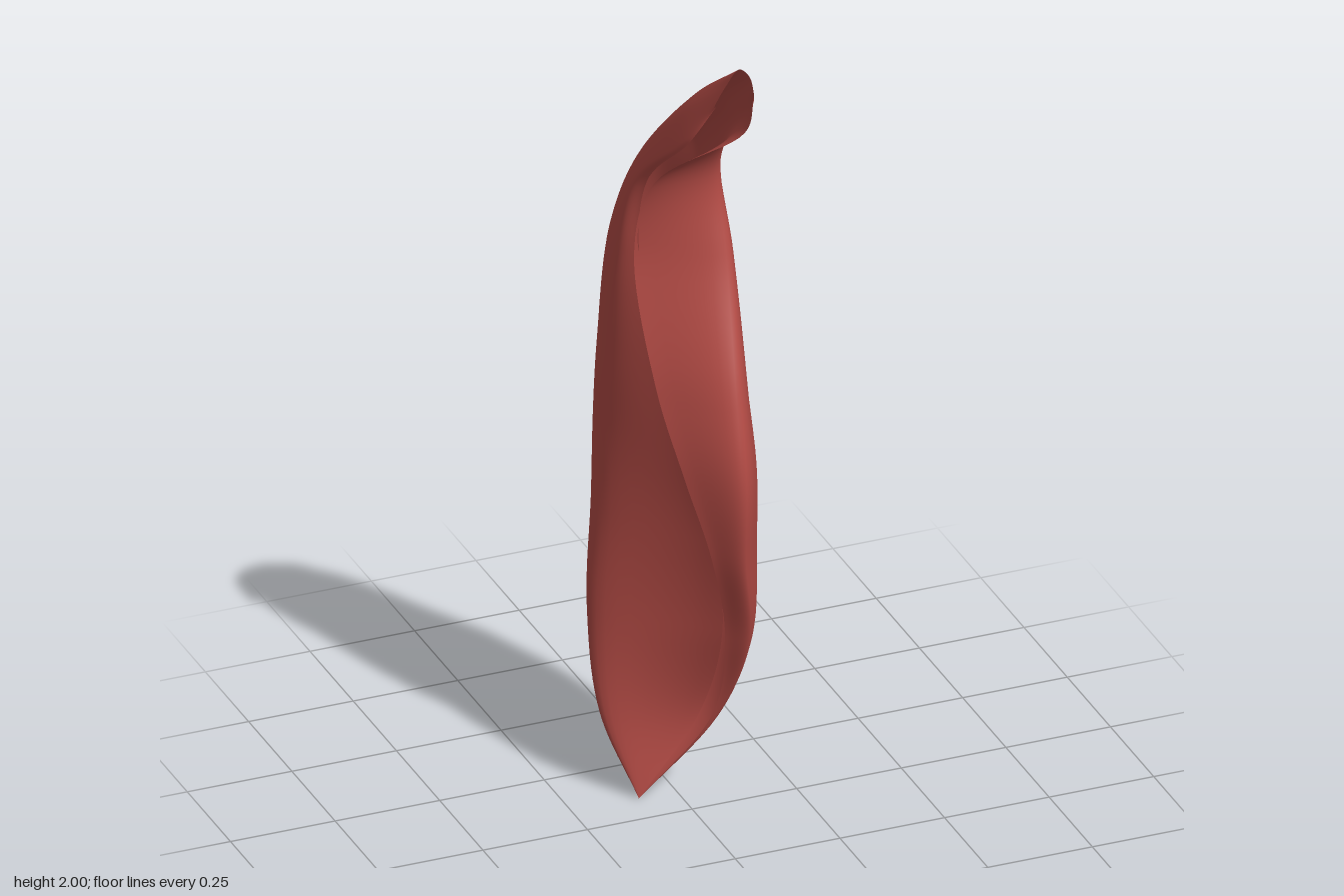
import * as THREE from 'three';

// Cross-sections from base to tip: height at the back, drop of the rims, then
// seven x,z points from the tucked flap round the back to the overlapping rim.
const sections = [
  [.2, 0, .04, -.06, -.157, -.145, -.125, -.195, -.01, -.195, .062, -.12, .075, -.035, .055, -.03],
  [.45, 0, .06, .03, -.17, -.175, -.135, -.245, .03, -.25, .142, -.085, .1, .09, .05, .07],
  [.7, 0, .02, .07, -.155, -.175, -.115, -.27, .08, -.25, .167, -.1, .055, .18, -.01, .135],
  [.9, 0, -.03, .06, -.15, -.17, -.11, -.275, .092, -.25, .154, -.09, .045, .208, -.065, .11],
  [1.1, 0, -.07, .02, -.15, -.14, -.11, -.255, .07, -.235, .122, -.11, .05, .165, -.105, .045],
  [1.4, 0, -.11, -.04, -.143, -.085, -.115, -.19, .015, -.215, .088, -.1, .075, .042, -.12, -.045],
  [1.65, .06, -.105, -.01, -.122, -.035, -.1, -.075, -.03, -.09, .045, -.07, .065, .005, -.09, 0],
  [1.85, .08, -.075, .165, -.08, .15, -.065, .1, -.02, .09, .025, .1, .055, .14, .055, .17],
  [2, .12, -.034, .222, -.04, .225, -.025, .26, -.005, .285, .02, .28, .042, .255, .055, .225],
];
const rimDrop = [1, 1, .4, 0, .2, .7, 1];
const base = new THREE.Vector3(-.09, 0, -.09);

// Smooth skin lofted from the base point through the sections
function loft(rows, across, along) {
  const rails = rimDrop.map((d, i) => new THREE.CatmullRomCurve3([base, ...rows.map(
    r => new THREE.Vector3(r[2 + 2 * i], r[0] - r[1] * d, r[3 + 2 * i]))]));
  const geo = new THREE.PlaneGeometry(1, 1, across, along);
  const pos = geo.attributes.position;
  for (let j = 0; j <= along; j++) {
    const ring = new THREE.CatmullRomCurve3(rails.map(c => c.getPoint(j / along)));
    for (let i = 0; i <= across; i++) {
      const p = ring.getPoint(i / across);
      pos.setXYZ(j * (across + 1) + i, p.x, p.y, p.z);
    }
  }
  // Rows run upward, so flip the winding to keep the outer skin facing out
  const idx = geo.index.array;
  for (let k = 0; k < idx.length; k += 3) [idx[k], idx[k + 1]] = [idx[k + 1], idx[k]];
  geo.computeVertexNormals();
  return geo;
}

export function createModel() {
  const group = new THREE.Group();
  group.name = 'curledPetal';
  const petalRed = new THREE.MeshStandardMaterial({ color: 0xb34b45, side: THREE.DoubleSide });
  petalRed.name = 'petalRed';

  // Rolled blade with hooded tip
  const blade = new THREE.Mesh(loft(sections, 60, 90), petalRed);
  blade.name = 'petalBlade';
  group.add(blade);
  return group;
}
